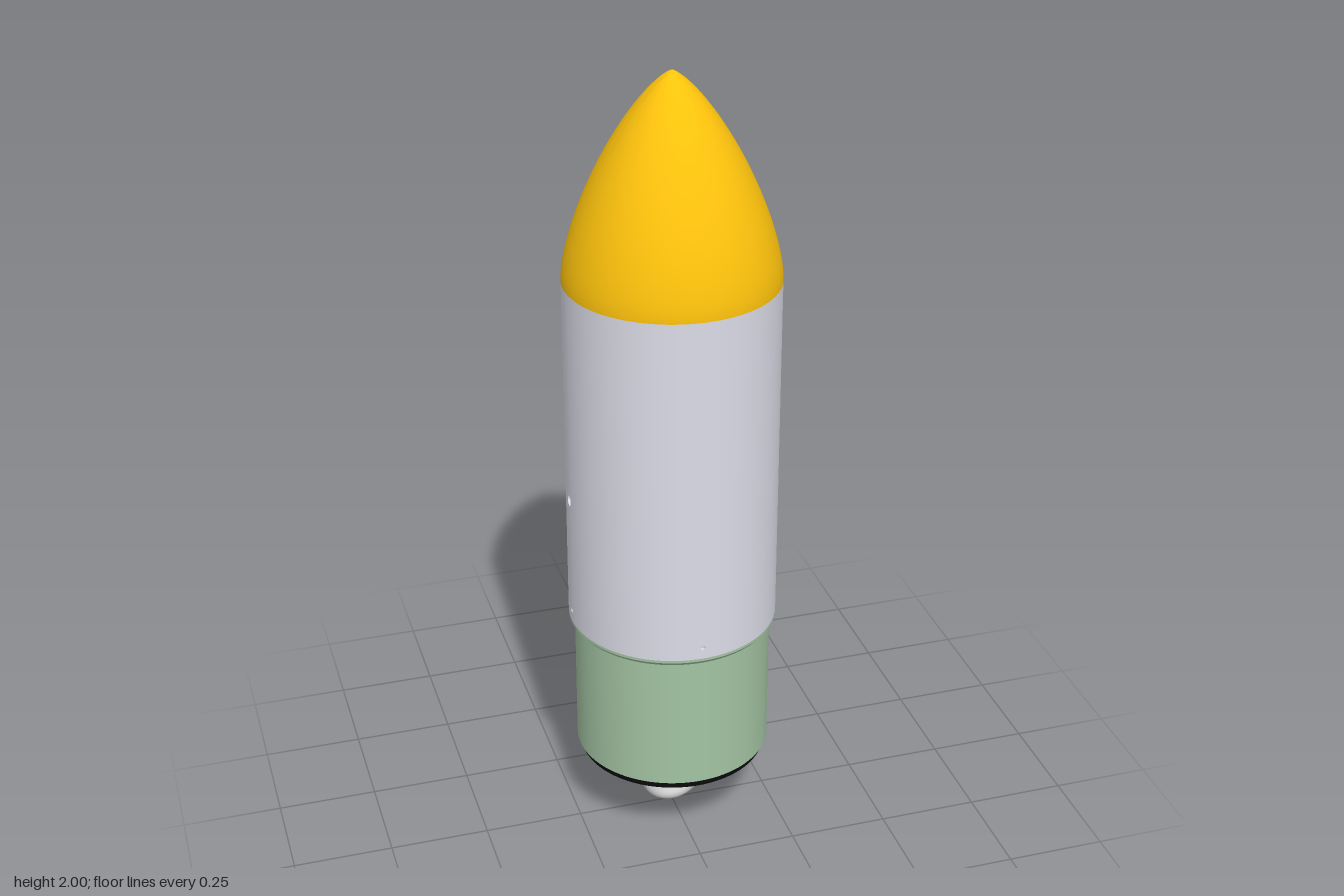
import * as THREE from 'three';
import { toCreasedNormals } from 'three/addons/utils/BufferGeometryUtils.js';

const R = 0.26, INNER = 0.25;            // body tube radii
const BODY_LOW = 0.6, BODY_TOP = 1.495;  // body tube ends
const STRIP = THREE.MathUtils.degToRad(8);

const colored = (color) => new THREE.MeshStandardMaterial({ color });

function part(name, geometry, material) {
  const mesh = new THREE.Mesh(geometry, material);
  mesh.name = name;
  return mesh;
}

// Turned part from [radius, height] pairs, keeping profile corners sharp
function turned(profile, segments = 96, start = 0, length = Math.PI * 2) {
  const points = profile.map(([r, y]) => new THREE.Vector2(r, y));
  return toCreasedNormals(new THREE.LatheGeometry(points, segments, start, length), 0.4);
}

// Narrow upright strip of tube wall, pierced by holes [height, radius], bent round the axis
function piercedStrip(phi, holes) {
  const half = STRIP * R / 2;
  const shape = new THREE.Shape();
  shape.moveTo(-half, BODY_LOW);
  shape.lineTo(0, BODY_LOW);
  shape.lineTo(half, BODY_LOW);
  shape.lineTo(half, BODY_TOP);
  shape.lineTo(0, BODY_TOP);
  shape.lineTo(-half, BODY_TOP);
  for (const [y, r] of holes) {
    shape.holes.push(new THREE.Path().absarc(0, y, r, 0, Math.PI * 2, true));
  }
  const geometry = new THREE.ExtrudeGeometry(shape, { depth: R - INNER, bevelEnabled: false, curveSegments: 20 });
  const pos = geometry.attributes.position, nor = geometry.attributes.normal;
  const axis = new THREE.Vector3(0, 1, 0), n = new THREE.Vector3();
  for (let i = 0; i < pos.count; i++) {
    const angle = phi + pos.getX(i) / R, radius = INNER + pos.getZ(i);
    pos.setXYZ(i, radius * Math.sin(angle), pos.getY(i), radius * Math.cos(angle));
    n.fromBufferAttribute(nor, i).applyAxisAngle(axis, angle);
    nor.setXYZ(i, n.x, n.y, n.z);
  }
  return geometry;
}

export function createModel() {
  const model = new THREE.Group();
  const yellow = colored(0xffc40c), white = colored(0xdcdce8);
  const green = colored(0xa3c4a3), black = colored(0x0a0a0a), steel = colored(0xcccccc);

  // Nose cone: slender curve from tip to base, with a short straight collar
  const nose = [[0, BODY_TOP], [R, BODY_TOP], [R, 1.505]];
  for (let i = 39; i >= 0; i--) {
    const t = (i / 40) ** 1.5;
    const theta = Math.acos(1 - 2 * t);
    const r = R * Math.sqrt(Math.max(0, theta - Math.sin(2 * theta) / 2) / Math.PI);
    nose.push([r, 2 - 0.495 * t]);
  }
  model.add(part('noseCone', turned(nose), yellow));

  // Body tube: four plain arcs joined by four pierced strips
  const body = new THREE.Group();
  body.name = 'bodyTube';
  const wall = [[R, BODY_LOW], [R, BODY_TOP], [INNER, BODY_TOP], [INNER, BODY_LOW], [R, BODY_LOW]];
  for (let i = 0; i < 4; i++) {
    const phi = i * Math.PI / 2;
    const holes = [[0.63, 0.006]];
    if (i % 2) holes.push([0.942, 0.014]); // large vents on the two sides only
    body.add(part('ventStrip', piercedStrip(phi, holes), white));
    body.add(part('tubeArc', turned(wall, 24, phi + STRIP / 2, Math.PI / 2 - STRIP), white));
  }
  model.add(body);

  // Lower section with a chamfered collar under the body tube
  model.add(part('lowerSection', turned([
    [0, 0.225], [0.245, 0.225], [0.245, 0.581], [0.252, 0.583], [R, 0.593], [R, 0.6], [0, 0.6],
  ]), green));

  // End plate
  model.add(part('endPlate', turned([
    [0, 0.205], [0.236, 0.205], [0.236, 0.225], [0, 0.225],
  ]), black));

  // Eye bolt
  const bolt = new THREE.Group();
  bolt.name = 'eyeBolt';
  bolt.add(part('boltCollar', turned([
    [0, 0.15], [0.018, 0.152], [0.02, 0.172], [0.03, 0.175], [0.034, 0.18], [0.034, 0.205], [0, 0.205],
  ], 40), steel));
  const ring = part('eyeRing', new THREE.TorusGeometry(0.067, 0.016, 20, 64), steel);
  ring.position.y = 0.083;
  bolt.add(ring);
  model.add(bolt);

  return model;
}
